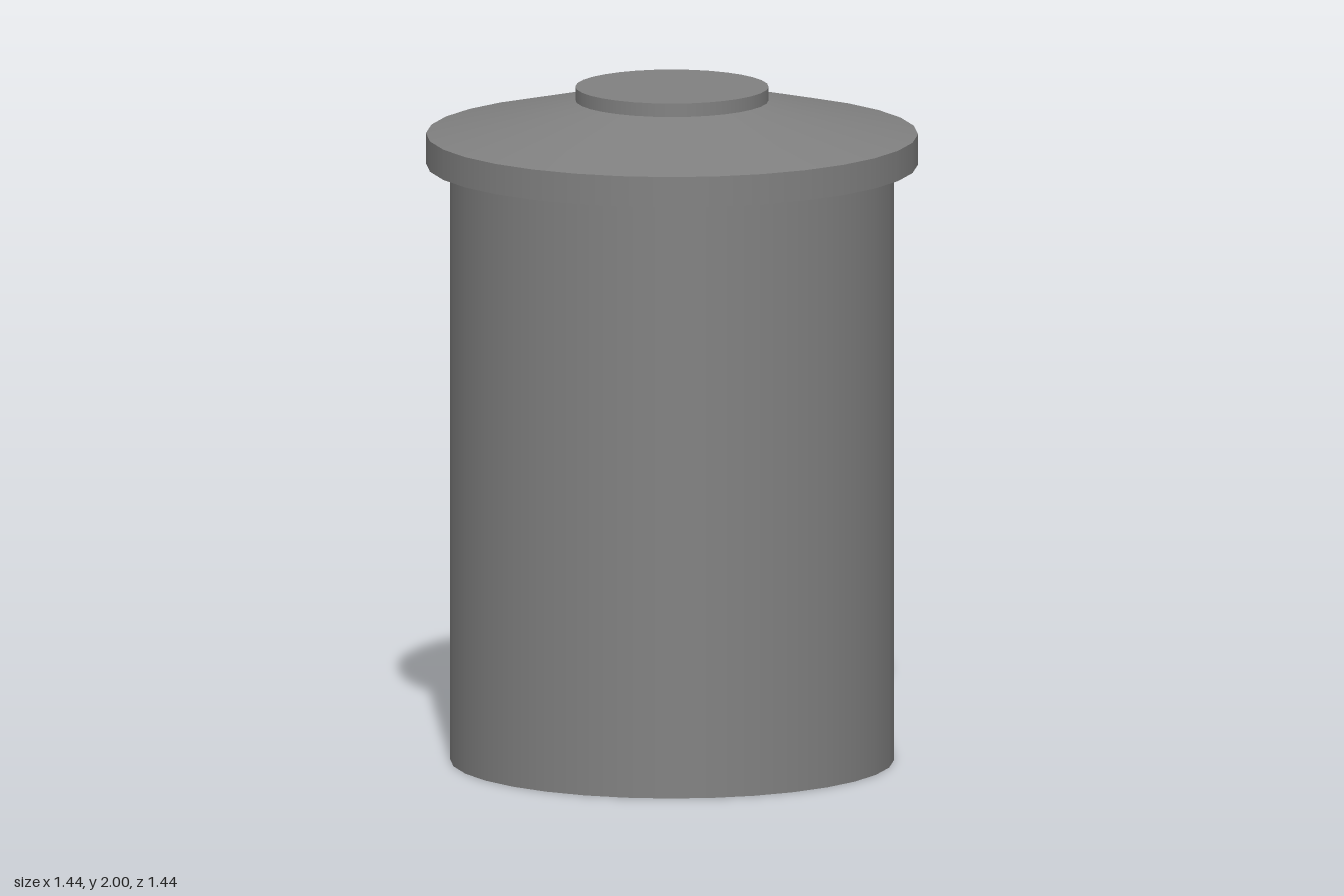
import * as THREE from 'three';

const SIDES = 32;

export function createModel() {
  const model = new THREE.Group();
  model.name = 'canister';
  const material = new THREE.MeshStandardMaterial({ color: 0x808080 });
  const shell = new THREE.MeshStandardMaterial({ color: 0x808080, side: THREE.DoubleSide });

  // Round section from height y0 to y1
  function section(name, parent, rTop, rBottom, y0, y1, open = false) {
    const geometry = new THREE.CylinderGeometry(rTop, rBottom, y1 - y0, SIDES, 1, open);
    const mesh = new THREE.Mesh(geometry, open ? shell : material);
    mesh.name = name;
    mesh.position.y = (y0 + y1) / 2;
    parent.add(mesh);
  }

  // Body reaches slightly up inside the lid
  section('body', model, 0.65, 0.65, 0, 1.8);

  // Lid: overhanging rim, sloped top and flat knob
  const lid = new THREE.Group();
  lid.name = 'lid';
  model.add(lid);
  section('lidRim', lid, 0.72, 0.72, 1.77, 1.86, true);
  section('lidSlope', lid, 0.283, 0.72, 1.86, 1.96, true);
  section('lidKnob', lid, 0.283, 0.283, 1.96, 2);

  // Recessed underside of the lid around the body
  const underside = new THREE.Mesh(new THREE.RingGeometry(0.65, 0.72, SIDES), shell);
  underside.name = 'lidUnderside';
  underside.rotation.x = Math.PI / 2;
  underside.position.y = 1.8;
  lid.add(underside);

  return model;
}
